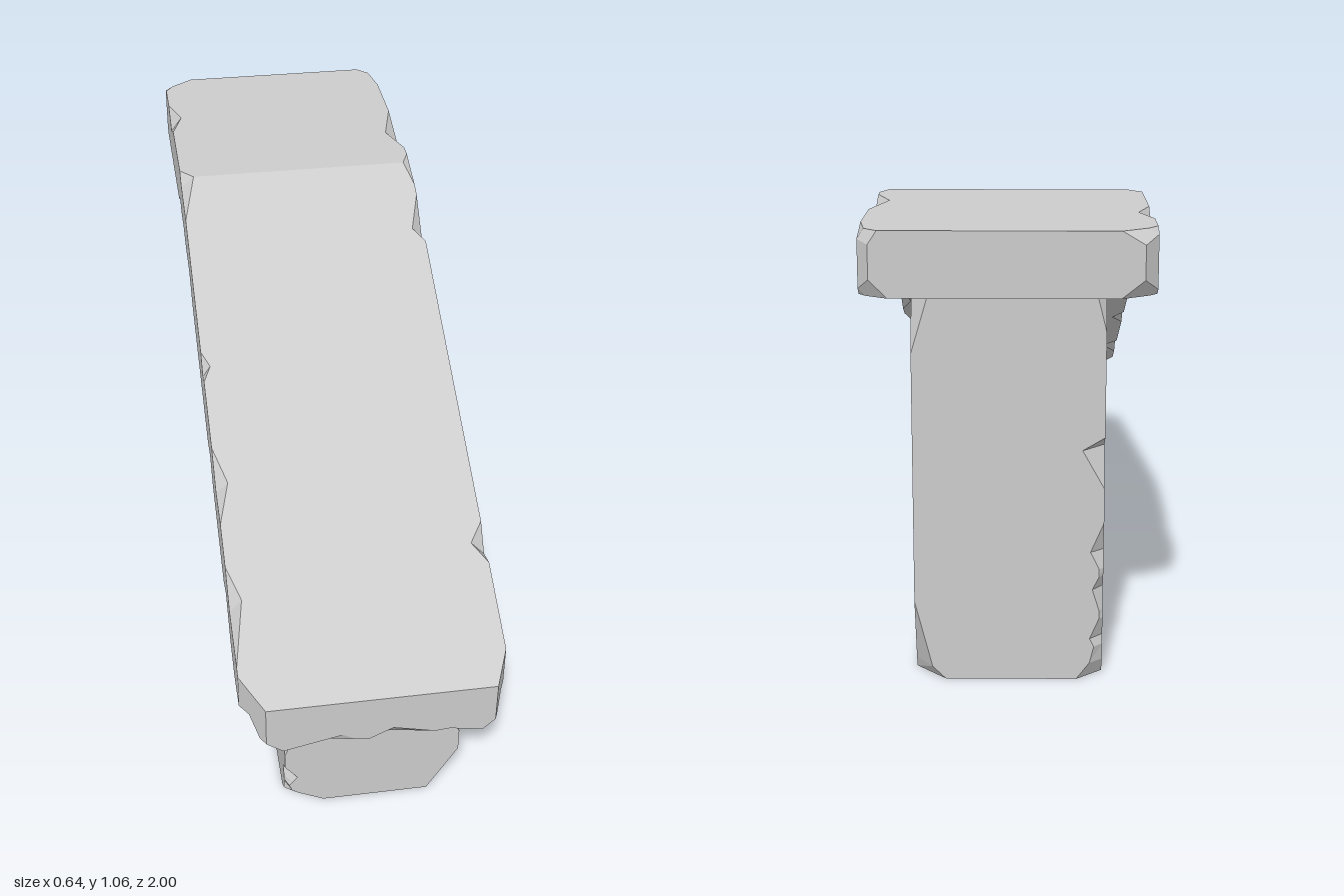
import * as THREE from 'three';

const RIDGE = -0.37;
const material = new THREE.MeshStandardMaterial({ color: 0xcccccc, flatShading: true, side: THREE.DoubleSide });

// A chip is [start, peak, end, cutA, cutB] along an edge; returns both cut depths at s.
function cut(chips, s) {
  let a = 0, b = 0;
  for (const [lo, c, hi, ca, cb] of chips) {
    if (s < lo || s > hi) continue;
    const k = s === c ? 1 : s < c ? (s - lo) / (c - lo) : (hi - s) / (hi - c);
    a = Math.max(a, ca * k);
    b = Math.max(b, cb * k);
  }
  return [a, b];
}

// Every station at which any chip starts, peaks or ends.
function stations(edges, extra) {
  const all = [...extra, ...edges.flat().flatMap((c) => c.slice(0, 3))];
  return [...new Set(all)].sort((p, q) => p - q);
}

// Closed faceted solid through a row of rings.
function loft(name, rings) {
  const pos = [];
  const tri = (a, b, c) => {
    const n = b.clone().sub(a).cross(c.clone().sub(a));
    if (n.length() > 1e-8) for (const p of [a, b, c]) pos.push(p.x, p.y, p.z);
  };
  const n = rings[0].length;
  for (let i = 0; i + 1 < rings.length; i++) {
    for (let j = 0; j < n; j++) {
      const k = (j + 1) % n, [r, q] = [rings[i], rings[i + 1]];
      tri(r[j], r[k], q[k]);
      tri(r[j], q[k], q[j]);
    }
  }
  const end = (ring, flip) => {
    const mid = ring.reduce((m, p) => m.add(p), new THREE.Vector3()).divideScalar(n);
    ring.forEach((p, j) => {
      const q = ring[(j + 1) % n];
      flip ? tri(mid, q, p) : tri(mid, p, q);
    });
  };
  end(rings[0], true);
  end(rings[rings.length - 1], false);
  const geo = new THREE.BufferGeometry();
  geo.setAttribute('position', new THREE.Float32BufferAttribute(pos, 3));
  geo.computeVertexNormals();
  const mesh = new THREE.Mesh(geo, material);
  mesh.name = name;
  return mesh;
}

const capTop = (z) => 1.06 - Math.max(0, z - RIDGE) * 0.485;
const capBottom = (z) => 0.915 - Math.max(0, z - RIDGE) * 0.481;

// Sloping coping slab, lofted from back to front.
function coping() {
  const topL = [[-0.7, -0.56, -0.46, 0.035, 0.035], [-0.42, RIDGE, -0.3, 0.02, 0.015],
    [-0.27, -0.17, -0.13, 0.03, 0.05], [0.62, 0.67, 0.72, 0.035, 0.04], [-1, -1, -0.88, 0.02, 0.03]];
  const topR = [[-0.83, -0.74, -0.65, 0.03, 0.04], [-0.41, RIDGE, -0.24, 0.035, 0.03],
    [0.13, 0.17, 0.21, 0.02, 0.03], [0.38, 0.47, 0.57, 0.03, 0.03], [0.67, 0.75, 0.9, 0.03, 0.035],
    [-1, -1, -0.93, 0.05, 0.03]];
  const botR = [[0.82, 0.95, 1, 0.05, 0.06], [0.95, 1, 1, 0.04, 0.03], [0.6, 0.66, 0.74, 0.04, 0.04],
    [0.25, 0.31, 0.36, 0.03, 0.03], [-0.3, -0.2, -0.12, 0.03, 0.03], [-0.52, -0.47, -0.42, 0.03, 0.03],
    [-1, -1, -0.94, 0.05, 0.04]];
  const botL = [[0.86, 0.95, 1, 0.05, 0.05], [0.95, 1, 1, 0.03, 0.03], [0.76, 0.82, 0.88, 0.04, 0.06],
    [0.66, 0.73, 0.76, 0.04, 0.05], [0.27, 0.48, 0.54, 0.04, 0.08], [0.0, 0.13, 0.22, 0.03, 0.03],
    [-0.2, -0.04, 0.1, 0.04, 0.06], [-1, -1, -0.95, 0.04, 0.04]];
  // Worn upright corners at the two ends
  const sideL = [[0.92, 1, 1, 0.035, 0], [-1, -1, -0.97, 0.025, 0]];
  const sideR = [[0.92, 1, 1, 0.055, 0], [-1, -1, -0.96, 0.03, 0]];
  // Ragged lower lip of the front end: [x, lift]
  const lip = [[-0.225, 0.012], [-0.19, 0.018], [-0.135, 0.065], [-0.05, 0.013], [-0.02, 0.01],
    [0.04, 0.04], [0.14, 0.012], [0.24, 0.022]];
  const zs = stations([topL, topR, botL, botR, sideL, sideR], [-1, RIDGE, 0.98, 1]);
  return loft('coping', zs.map((z) => {
    const T = capTop(z), B = capBottom(z);
    const xp = 0.32 - cut(sideL, z)[0], xn = -0.32 + cut(sideR, z)[0];
    const [a0, b0] = cut(topL, z), [a1, b1] = cut(topR, z);
    const [a2, b2] = cut(botR, z), [a3, b3] = cut(botL, z);
    return [
      [xp - a0, T], [xn + a1, T], [xn, T - b1], [xn, B + b2], [xn + a2, B],
      ...lip.map(([x, up]) => [x, B + (z === 1 ? up : 0)]),
      [xp - a3, B], [xp, B + b3], [xp, T - b0],
    ].map(([x, y]) => new THREE.Vector3(x, y, z));
  }));
}

// Wall under the coping, lofted upward; its top is buried in the coping.
function wall() {
  const W = 0.215, F = 0.94, K = -0.9;
  const height = (z) => capBottom(z) + 0.03;
  const scaled = (chips, z) => chips.map(([l, c, h, a, b]) => [l / height(z), c / height(z), h / height(z), a, b]);
  const frontL = scaled([[0, 0, 0.13, 0.075, 0.08], [0.19, 0.31, 0.31, 0.05, 0.06]], F);
  const frontR = scaled([[0, 0, 0.05, 0.095, 0.06], [0, 0.05, 0.09, 0.015, 0.03],
    [0.05, 0.09, 0.13, 0.03, 0.04], [0.17, 0.31, 0.31, 0.05, 0.06]], F);
  const backL = scaled([[0, 0.03, 0.19, 0.04, 0.055], [0, 0, 0.03, 0.07, 0.07], [0.77, 0.94, 0.94, 0.05, 0.055]], K);
  const backR = scaled([[0, 0, 0.08, 0.06, 0.05], [0.04, 0.1, 0.17, 0.03, 0.03], [0.14, 0.22, 0.27, 0.025, 0.03],
    [0.25, 0.31, 0.38, 0.03, 0.025], [0.46, 0.55, 0.58, 0.05, 0.05], [0.82, 0.94, 0.94, 0.03, 0.04]], K);
  const ts = stations([frontL, frontR, backL, backR], [0, 1]).filter((t) => t <= 1);
  return loft('wall', ts.map((t) => {
    const [a0, b0] = cut(frontL, t), [a1, b1] = cut(backL, t);
    const [a2, b2] = cut(backR, t), [a3, b3] = cut(frontR, t);
    return [
      [W, F - b0], [W, RIDGE], [W, K + b1], [W - a1, K], [-W + a2, K], [-W, K + b2],
      [-W, RIDGE], [-W, F - b3], [-W + a3, F], [W - a0, F],
    ].map(([x, z]) => new THREE.Vector3(x, t * height(z), z));
  }));
}

export function createModel() {
  const group = new THREE.Group();
  group.name = 'stoneStairWall';
  group.add(wall(), coping());
  return group;
}
